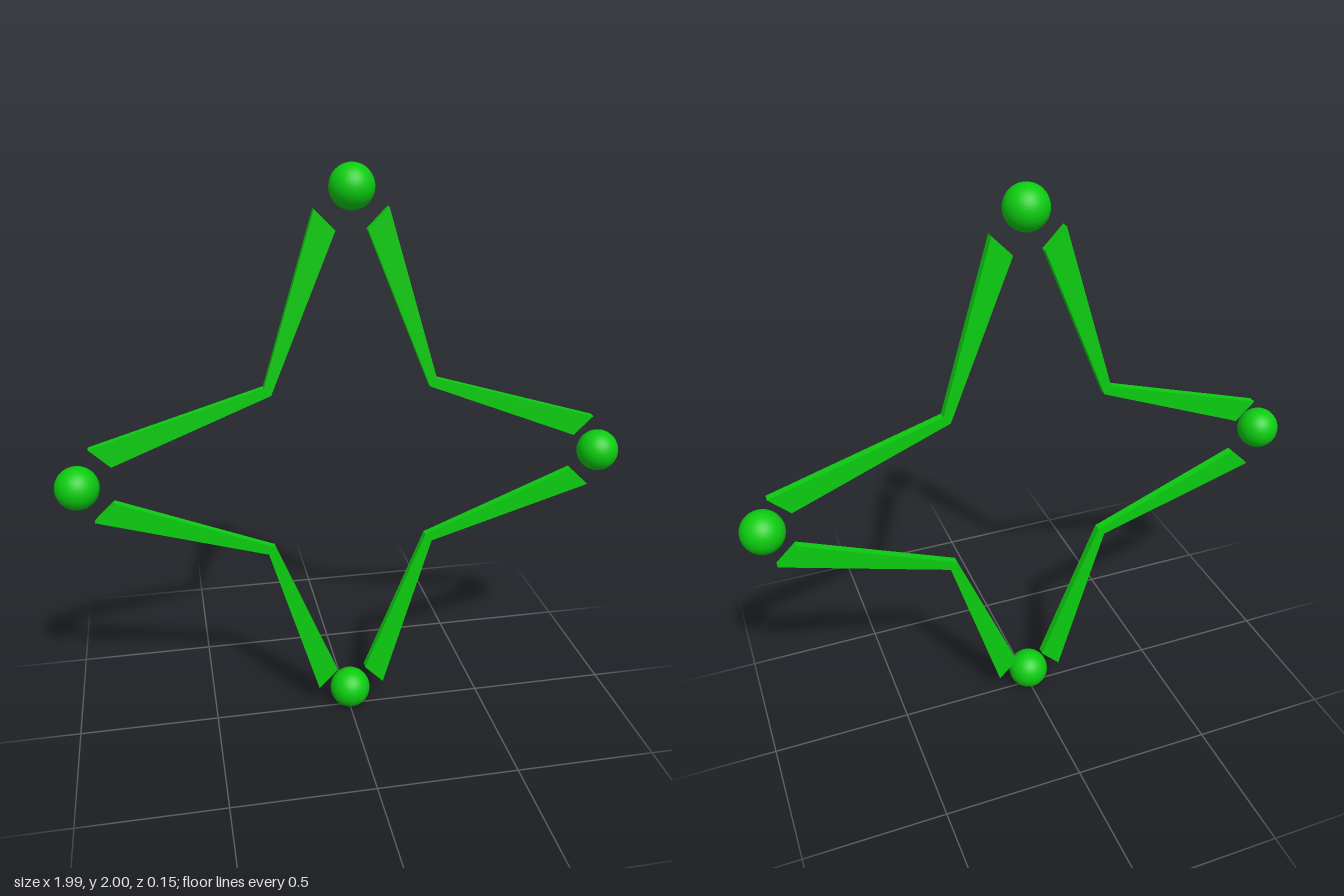
import * as THREE from 'three';

const CX = 0.0075, CY = 0.972; // centre of the star outline

export function createModel() {
  const group = new THREE.Group();
  group.name = 'starFrame';
  const green = new THREE.MeshStandardMaterial({ color: 0x0ccc10 });

  // One tapered chevron, relative to the star centre, widening toward both tips
  const chevron = [
    [0.122, 0.888], [0.053, 0.818], [0.273, 0.281],
    [0.812, 0.065], [0.882, 0.132], [0.297, 0.308],
  ];

  // Four chevrons, mirrored left/right and up/down
  for (const [sx, side] of [[1, 'Left'], [-1, 'Right']]) {
    for (const [sy, level] of [[1, 'upper'], [-1, 'lower']]) {
      const shape = new THREE.Shape(
        chevron.map(([x, y]) => new THREE.Vector2(CX + sx * x, CY + sy * y)));
      const bar = new THREE.Mesh(
        new THREE.ExtrudeGeometry(shape, { depth: 0.028, bevelEnabled: false }), green);
      bar.position.z = -0.026;
      bar.name = `${level}${side}Chevron`;
      group.add(bar);
    }
  }

  // Ball at each point of the star
  const ballGeometry = new THREE.SphereGeometry(0.074, 32, 24);
  const balls = {
    topBall: [0.0075, 1.926], bottomBall: [0.003, 0.074],
    leftBall: [0.917, CY], rightBall: [-0.921, CY],
  };
  for (const [name, [x, y]] of Object.entries(balls)) {
    const ball = new THREE.Mesh(ballGeometry, green);
    ball.position.set(x, y, 0);
    ball.name = name;
    group.add(ball);
  }
  return group;
}
